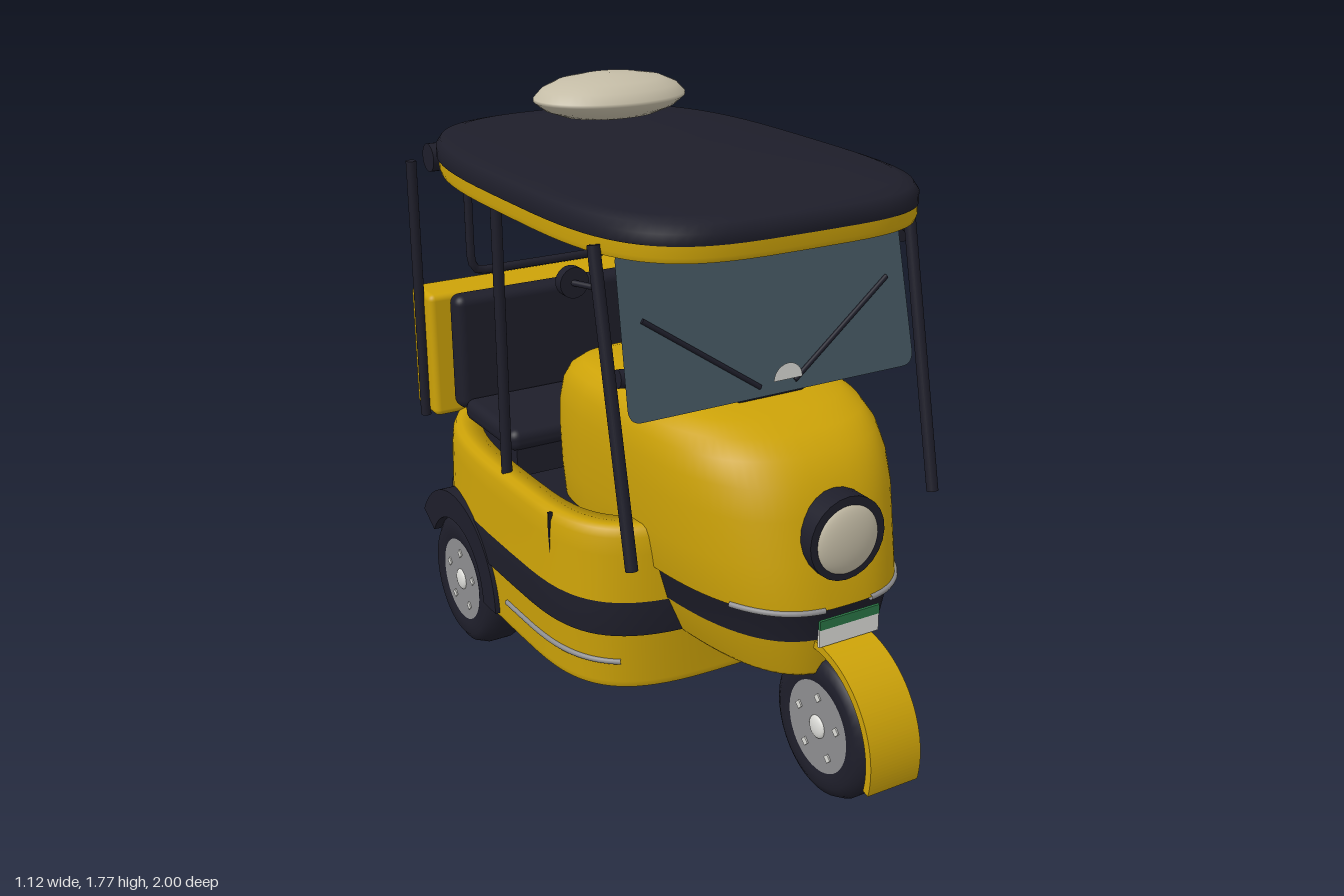
import * as THREE from 'three';
import { RoundedBoxGeometry } from 'three/addons/geometries/RoundedBoxGeometry.js';

const mat = (name, color) => Object.assign(new THREE.MeshStandardMaterial({ color, side: THREE.DoubleSide }), { name });
const V = (...p) => new THREE.Vector3(...p);

export function createModel() {
  const root = new THREE.Group();
  root.name = 'threeWheeler';
  const yellow = mat('yellow paint', 0xcca208), dark = mat('dark trim', 0x1e1e2a), cream = mat('cream lens', 0xc4bca6);
  const glass = mat('blue grey glass', 0x435560), metal = mat('grey metal', 0x8e8e90), white = mat('white', 0xdcdcd8);
  const green = mat('green', 0x2a7545), red = mat('red', 0xb42028);

  const add = (name, geo, material, pos = [0, 0, 0], parent = root) => {
    const m = new THREE.Mesh(geo, material);
    m.name = name;
    m.position.set(...pos);
    parent.add(m);
    return m;
  };
  const box = (name, size, pos, material, r = 0) =>
    add(name, r ? new RoundedBoxGeometry(...size, 4, r) : new THREE.BoxGeometry(...size), material, pos);
  const rod = (name, a, b, r, material, parent = root) => {
    const p = V(...a), q = V(...b), d = q.clone().sub(p);
    const m = add(name, new THREE.CylinderGeometry(r, r, d.length(), 24), material, p.add(q).multiplyScalar(0.5).toArray(), parent);
    m.quaternion.setFromUnitVectors(V(0, 1, 0), d.normalize());
    return m;
  };
  const tube = (name, pts, r, material) =>
    add(name, new THREE.TubeGeometry(new THREE.CatmullRomCurve3(pts, false, 'catmullrom', 0.2), 48, r, 8), material);

  // Rounded plan outline: hull = { zc, nf, nb }, row = [y, halfWidth, zFront, zBack]
  const pw = (v, n) => Math.sign(v) * Math.abs(v) ** (2 / n);
  const plan = (h, [y, w, zf, zb], a) => {
    const c = Math.cos(a), s = Math.sin(a), n = s > 0 ? h.nf : h.nb;
    return V(w * pw(c, n), y, h.zc + (s > 0 ? zf - h.zc : h.zc - zb) * pw(s, n));
  };
  // Shell through stacked outlines; row[4] is the material index of the strip above it
  const loft = (name, h, rows, mats, seg = 80) => {
    const pos = [], idx = [], geo = new THREE.BufferGeometry();
    rows.forEach((row, j) => {
      const start = idx.length;
      for (let i = 0; i < seg; i++) {
        pos.push(...plan(h, row, (i / seg) * Math.PI * 2).toArray());
        if (j === rows.length - 1) continue;
        const k = (i + 1) % seg, a = j * seg + i, b = j * seg + k, c = a + seg, d = b + seg;
        idx.push(a, c, b, b, c, d);
      }
      if (idx.length > start) geo.addGroup(start, idx.length - start, row[4] || 0);
    });
    geo.setAttribute('position', new THREE.Float32BufferAttribute(pos, 3));
    geo.setIndex(idx);
    geo.computeVertexNormals();
    return add(name, geo, mats);
  };
  const ring = (h, y, w, f, b, s, m) => [y, w * s, h.zc + (f - h.zc) * s, h.zc + (b - h.zc) * s, m];

  // Roof: yellow rim, dark domed top
  const roof = { zc: -0.15, nf: 3.8, nb: 3 };
  loft('roofRim', roof, [[1.485, 0.99], [1.5, 0.998], [1.54, 0.998]].map(([y, s]) => ring(roof, y, 0.513, 0.58, -0.965, s)), [yellow]);
  loft('roofTop', roof, [[1.528, 0.99], [1.53, 1], [1.56, 1], [1.582, 0.978], [1.593, 0.92], [1.603, 0.7], [1.61, 0.35], [1.611, 0.001]]
    .map(([y, s]) => ring(roof, y, 0.515, 0.58, -0.98, s)), [dark]);
  add('roofLens', new THREE.LatheGeometry([[0, -0.065], [0.08, -0.061], [0.15, -0.05], [0.205, -0.03], [0.238, -0.005], [0.238, 0.005], [0.213, 0.03], [0.165, 0.051], [0.09, 0.064], [0, 0.068]]
    .map(p => new THREE.Vector2(...p)), 48), cream, [0, 1.708, -0.465]).scale.z = 0.71;

  // Passenger tub with a dark belt and a sunken floor, narrowing to the rear
  const tub = { zc: -0.15, nf: 3.8, nb: 3.2 };
  const tubRow = (y, s, m) => ring(tub, y, 0.53, 0.355, -0.93, s, m);
  loft('passengerTub', tub, [[0.21, 0.965], [0.23, 0.978], [0.38, 0.986], [0.38, 1, 1], [0.48, 1, 1], [0.48, 0.994], [0.62, 0.988], [0.67, 0.98],
    [0.692, 0.965], [0.7, 0.94], [0.7, 0.84, 1], [0.6, 0.83, 1], [0.6, 0.001, 1]].map(r => tubRow(...r)), [yellow, dark]);
  loft('tubUnderside', tub, [tubRow(0.49, 0.985), tubRow(0.49, 0.001)], [yellow]);

  // Nose and engine cowl
  const nose = { zc: 0.1, nf: 2.8, nb: 5 };
  const noseRows = [[0.37, 0.001, 0.11, 0.09], [0.37, 0.24, 0.73, -0.2], [0.38, 0.25, 0.735, -0.21], [0.485, 0.292, 0.752, -0.28, 1],
    [0.58, 0.315, 0.765, -0.3, 1], [0.582, 0.327, 0.78, -0.3], [0.7, 0.34, 0.748, -0.3], [0.82, 0.345, 0.722, -0.3], [0.9, 0.343, 0.69, -0.298],
    [0.96, 0.335, 0.645, -0.285], [1.0, 0.318, 0.585, -0.265], [1.025, 0.29, 0.5, -0.235], [1.038, 0.25, 0.41, -0.19], [1.045, 0.15, 0.25, -0.05], [1.046, 0.001, 0.11, 0.09]];
  loft('noseCowl', nose, noseRows, [yellow, dark]);

  // Bright trim that follows the outlines
  const trim = (name, h, row, a0, a1) => [1, -1].forEach(s => tube(name, Array.from({ length: 14 }, (_, i) => {
    const p = plan(h, row, a0 + (a1 - a0) * i / 13);
    return p.setX(p.x * s);
  }), 0.008, metal));
  trim('noseTrim', nose, noseRows[5], 0.75, 1.45);
  trim('tubTrim', tub, tubRow(0.295, 0.984), -0.012, 0.9);

  // Headlight
  rod('headlightRing', [0, 0.765, 0.66], [0, 0.765, 0.766], 0.117, dark);
  add('headlightLens', new THREE.SphereGeometry(0.1, 32, 20), cream, [0, 0.762, 0.757]).scale.z = 0.3;

  // Number plates
  box('frontPlate', [0.19, 0.05, 0.008], [0, 0.51, 0.782], white);
  box('frontPlateStrip', [0.19, 0.026, 0.008], [0, 0.548, 0.784], green);
  box('rearPlate', [0.25, 0.085, 0.008], [0, 0.505, -0.934], white);
  box('rearPlateStrip', [0.25, 0.028, 0.008], [0, 0.562, -0.934], green);

  // Windscreen with wipers, tilted back
  const screen = new THREE.Group();
  screen.name = 'windscreen';
  screen.position.set(0, 1.275, 0.394);
  screen.rotation.x = -0.207;
  root.add(screen);
  const w = 0.453, hh = 0.222, r = 0.04, shape = new THREE.Shape();
  shape.moveTo(-w + r, -hh).lineTo(w - r, -hh).quadraticCurveTo(w, -hh, w, -hh + r).lineTo(w - 0.012, hh - r).quadraticCurveTo(w - 0.012, hh, w - r, hh);
  shape.lineTo(r - w, hh).quadraticCurveTo(0.012 - w, hh, 0.012 - w, hh - r).lineTo(-w, r - hh).quadraticCurveTo(-w, -hh, r - w, -hh);
  add('windscreenGlass', new THREE.ShapeGeometry(shape), glass, [0, 0, 0], screen);
  for (const s of [1, -1]) rod('wiper', [0.055 * s, -0.195, 0.002], [0.385 * s, 0.035, 0.002], 0.007, dark, screen);
  add('screenTag', new THREE.BoxGeometry(0.115, 0.026, 0.006), metal, [-0.042, 0.162, 0.003], screen);
  add('screenLamp', new THREE.CircleGeometry(0.045, 24, 0, Math.PI), white, [0, 1.112, 0.484]);

  // Instrument pod and handlebar behind the screen
  box('instrumentPod', [0.24, 0.1, 0.09], [0, 1.083, 0.373], dark, 0.025).rotation.x = -0.207;
  rod('handlebar', [-0.34, 1.13, 0.33], [0.34, 1.13, 0.33], 0.012, metal);

  // Paired parts
  for (const s of [1, -1]) {
    rod('handleGrip', [0.3 * s, 1.13, 0.33], [0.42 * s, 1.14, 0.32], 0.025, dark);
    rod('frontPost', [0.49 * s, 0.69, 0.508], [0.49 * s, 1.51, 0.336], 0.017, dark);
    rod('middlePost', [0.49 * s, 0.68, -0.23], [0.49 * s, 1.53, -0.23], 0.016, dark);
    rod('rearPost', [0.49 * s, 0.68, -0.83], [0.49 * s, 1.5, -0.83], 0.016, dark);
    rod('mirrorArm', [0.49 * s, 1.405, 0.36], [0.53 * s, 1.405, 0.27], 0.008, dark);
    rod('mirrorShell', [0.52 * s, 1.405, 0.262], [0.52 * s, 1.405, 0.29], 0.04, dark);
    rod('mirrorFace', [0.52 * s, 1.405, 0.255], [0.52 * s, 1.405, 0.263], 0.034, cream);
    box('doorSlot', [0.012, 0.13, 0.008], [0.51 * s, 0.63, 0.085], dark);
    box('tailLight', [0.055, 0.09, 0.008], [0.4 * s, 1.02, -0.926], red);
    box('reverseLight', [0.055, 0.018, 0.009], [0.4 * s, 0.995, -0.927], white);
    rod('rollEnd', [0.32 * s, 1.475, -0.95], [0.385 * s, 1.475, -0.95], 0.044, dark);
  }

  // Bench, rear cabinet and its vents
  box('benchBase', [0.8, 0.09, 0.34], [0, 0.66, -0.52], dark);
  box('benchCushion', [0.84, 0.07, 0.35], [0, 0.73, -0.515], dark, 0.03);
  box('benchBack', [0.86, 0.37, 0.075], [0, 0.91, -0.715], dark, 0.03);
  box('rearCabinet', [0.96, 0.4, 0.155], [0, 0.885, -0.8475], yellow, 0.02);
  for (let i = 0; i < 4; i++) box('ventSlat', [0.48, 0.03, 0.008], [0, 0.93 - i * 0.063, -0.926], dark);

  // Rear roll, window frame and bumper
  rod('rearRoll', [-0.37, 1.475, -0.95], [0.37, 1.475, -0.95], 0.036, dark);
  tube('rearWindowFrame', [[-0.31, 1.47], [-0.31, 1.18], [-0.3, 1.14], [-0.26, 1.125], [0.26, 1.125], [0.3, 1.14], [0.31, 1.18], [0.31, 1.47]]
    .map(([x, y]) => V(x, y, -0.83)), 0.014, dark);
  rod('rearBumper', [-0.42, 0.31, -0.936], [0.42, 0.31, -0.936], 0.03, dark);

  // Mudguards: arcs extruded across the car
  const arch = (name, z, y, r0, r1, a0, a1, xMax, width, material) => {
    const s = new THREE.Shape();
    s.absarc(0, 0, r1, a0, a1, false);
    s.absarc(0, 0, r0, a1, a0, true);
    const geo = new THREE.ExtrudeGeometry(s, { depth: width, bevelEnabled: false, curveSegments: 32 });
    add(name, geo, material, [xMax, y, z]).rotation.y = -Math.PI / 2;
  };
  arch('frontMudguard', 0.735, 0.215, 0.245, 0.267, -0.25, 2.1, 0.08, 0.16, yellow);
  for (const x of [0.533, -0.403]) arch('rearMudguard', -0.545, 0.23, 0.195, 0.283, 0, 2.6, x, 0.13, dark);

  // Wheels
  const wheel = (name, x, y, z, R, half) => {
    const g = new THREE.Group();
    g.name = name;
    g.position.set(x, y, z);
    root.add(g);
    const prof = [[0.125, -0.92], [0.145, -1], [R - 0.035, -1], [R - 0.012, -0.8], [R, -0.4], [R, 0.4], [R - 0.012, 0.8], [R - 0.035, 1], [0.145, 1], [0.125, 0.92]];
    add('tyre', new THREE.LatheGeometry(prof.map(([a, b]) => new THREE.Vector2(a, b * half)), 40), dark, [0, 0, 0], g).rotation.z = Math.PI / 2;
    rod('rim', [-half * 0.94, 0, 0], [half * 0.94, 0, 0], 0.132, metal, g);
    for (const s of [1, -1]) {
      add('hubCap', new THREE.SphereGeometry(0.033, 16, 12), white, [s * half * 0.94, 0, 0], g).scale.x = 0.35;
      for (let i = 0; i < 5; i++) {
        const a = Math.PI / 2 + i * Math.PI * 0.4, b = 0.088;
        add('wheelBolt', new THREE.CylinderGeometry(0.014, 0.014, 0.008, 4), white, [s * half * 0.94, b * Math.sin(a), b * Math.cos(a)], g).rotation.z = Math.PI / 2;
      }
    }
  };
  wheel('frontWheel', 0, 0.212, 0.735, 0.206, 0.06);
  for (const s of [1, -1]) wheel('rearWheel', 0.445 * s, 0.222, -0.545, 0.213, 0.077);
  rod('steeringColumn', [0, 0.4, 0.66], [0, 0.7, 0.6], 0.03, dark);
  return root;
}
